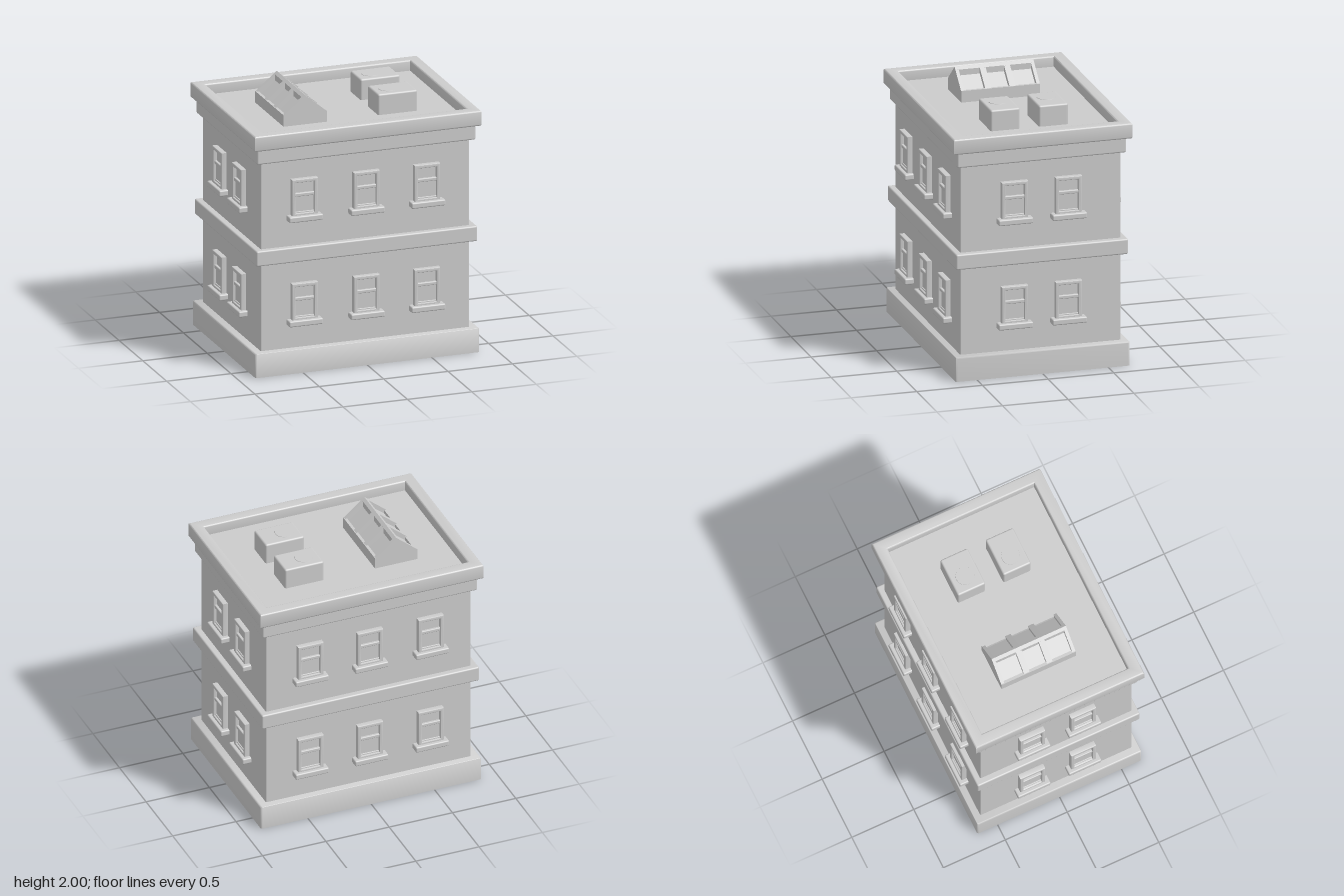
import * as THREE from 'three';
import { RoundedBoxGeometry } from 'three/addons/geometries/RoundedBoxGeometry.js';
import { toCreasedNormals } from 'three/addons/utils/BufferGeometryUtils.js';

const grey = new THREE.MeshStandardMaterial({ color: 0xcccccc });

function add(parent, name, geometry, x = 0, y = 0, z = 0) {
  const mesh = new THREE.Mesh(geometry, grey);
  mesh.name = name;
  mesh.position.set(x, y, z);
  parent.add(mesh);
  return mesh;
}

// Soft-edged block given by half width, half depth and its bottom and top heights
function block(parent, name, hx, hz, y0, y1, r = 0.012, x = 0, z = 0) {
  const geometry = new RoundedBoxGeometry(hx * 2, y1 - y0, hz * 2, 3, r);
  return add(parent, name, geometry, x, (y0 + y1) / 2, z);
}

function rect(target, x0, y0, x1, y1) {
  target.moveTo(x0, y0);
  target.lineTo(x1, y0);
  target.lineTo(x1, y1);
  target.lineTo(x0, y1);
  target.closePath();
  return target;
}

// Extrusion along z whose bevel stays inside the drawn outline
function bevelled(shape, depth, bevel, creased = true) {
  const geometry = new THREE.ExtrudeGeometry(shape, {
    depth: depth - 2 * bevel, bevelEnabled: true, bevelSize: bevel,
    bevelThickness: bevel, bevelOffset: -bevel, bevelSegments: 3,
  });
  geometry.translate(0, 0, bevel);
  return creased ? toCreasedNormals(geometry, 0.7) : geometry;
}

// Sash window: origin at the bottom centre of the sill, wall plane at z = 0
function makeWindow(frameGeometry) {
  const win = new THREE.Group();
  win.name = 'window';
  add(win, 'windowFrame', frameGeometry);
  add(win, 'upperPane', new THREE.BoxGeometry(0.16, 0.12, 0.03), 0, 0.24, 0);
  add(win, 'lowerPane', new THREE.BoxGeometry(0.16, 0.14, 0.04), 0, 0.125, 0);
  add(win, 'meetingRail', new RoundedBoxGeometry(0.16, 0.026, 0.04, 2, 0.006), 0, 0.2, 0.014);
  add(win, 'lowerSashRail', new RoundedBoxGeometry(0.16, 0.02, 0.04, 2, 0.004), 0, 0.06, 0.008);
  add(win, 'windowSill', new RoundedBoxGeometry(0.262, 0.045, 0.09, 3, 0.01), 0, 0.0225, 0.025);
  return win;
}

// Gabled rooflight: low body with full-height ribs and a ridge bar around sunken panes
function makeSkylight() {
  const skylight = new THREE.Group();
  skylight.name = 'skylight';
  const gable = (w, eave, top) => {
    const s = new THREE.Shape();
    s.moveTo(-w, 0);
    s.lineTo(w, 0);
    s.lineTo(w, eave);
    s.lineTo(0, top);
    s.lineTo(-w, eave);
    s.closePath();
    return s;
  };
  const extrude = (shape, depth) => new THREE.ExtrudeGeometry(shape, { depth, bevelEnabled: false });
  add(skylight, 'skylightBody', extrude(gable(0.155, 0.055, 0.18), 0.58), 0, 0, -0.29);
  const ribs = [[-0.3, 0.025], [-0.115, 0.045], [0.07, 0.045], [0.275, 0.025]];
  for (const [z, depth] of ribs) {
    add(skylight, 'skylightRib', extrude(gable(0.168, 0.085, 0.225), depth), 0, 0, z);
  }
  const ridge = new THREE.Shape();
  ridge.moveTo(-0.022, 0.15);
  ridge.lineTo(0.022, 0.15);
  ridge.lineTo(0.022, 0.207);
  ridge.lineTo(0, 0.225);
  ridge.lineTo(-0.022, 0.207);
  ridge.closePath();
  add(skylight, 'skylightRidge', extrude(ridge, 0.6), 0, 0, -0.3);
  for (const side of [-1, 1]) {
    add(skylight, 'skylightCurb', new THREE.BoxGeometry(0.022, 0.09, 0.6), side * 0.157, 0.045, 0);
  }
  return skylight;
}

export function createModel() {
  const building = new THREE.Group();
  building.name = 'building';

  // Plinth, with the rounding of its underside flattened onto the ground
  const plinth = block(building, 'plinth', 0.87, 0.663, 0, 0.185);
  const p = plinth.geometry.attributes.position;
  for (let i = 0; i < p.count; i++) {
    if (p.getY(i) < -0.0925 + 0.0125) p.setY(i, -0.0925);
  }
  plinth.geometry = toCreasedNormals(plinth.geometry, 0.8);

  // Walls and horizontal bands
  block(building, 'walls', 0.81, 0.611, 0.15, 1.7, 0.008);
  block(building, 'middleBand', 0.858, 0.655, 0.85, 0.967);
  block(building, 'upperBand', 0.848, 0.643, 1.627, 1.76);

  // Cornice ring and the sunken roof inside it
  const ring = rect(new THREE.Shape(), -0.88, -0.679, 0.88, 0.679);
  ring.holes.push(rect(new THREE.Path(), -0.793, -0.59, 0.793, 0.59));
  const corniceGeometry = bevelled(ring, 0.117, 0.012);
  corniceGeometry.rotateX(-Math.PI / 2);
  add(building, 'cornice', corniceGeometry, 0, 1.74, 0);
  add(building, 'roof', new THREE.BoxGeometry(1.62, 0.04, 1.22), 0, 1.757, 0);

  // Windows on two floors of all four walls
  const frame = rect(new THREE.Shape(), -0.1, 0.035, 0.1, 0.321);
  frame.holes.push(rect(new THREE.Path(), -0.073, 0.06, 0.073, 0.295));
  const frameGeometry = bevelled(frame, 0.052, 0.006);
  frameGeometry.translate(0, 0, -0.01);
  const walls = [
    { name: 'front', turn: 0, out: 0.609, places: [-0.48, 0, 0.47] },
    { name: 'left', turn: Math.PI / 2, out: 0.808, places: [-0.205, 0.205] },
    { name: 'back', turn: Math.PI, out: 0.609, places: [-0.47, 0, 0.48] },
    { name: 'right', turn: -Math.PI / 2, out: 0.808, places: [-0.205, 0.205] },
  ];
  for (const { name, turn, out, places } of walls) {
    const side = new THREE.Group();
    side.name = name + 'Windows';
    side.rotation.y = turn;
    for (const y of [0.362, 1.162]) {
      for (const x of places) {
        const win = makeWindow(frameGeometry);
        win.position.set(x, y, out);
        side.add(win);
      }
    }
    building.add(side);
  }

  // Rooftop equipment
  const skylight = makeSkylight();
  skylight.position.set(-0.35, 1.775, 0);
  building.add(skylight);
  for (const z of [-0.187, 0.18]) {
    const unit = new THREE.Group();
    unit.name = 'ventilationUnit';
    block(unit, 'unitHousing', 0.153, 0.111, 1.76, 1.936, 0.014, 0.373, z);
    add(unit, 'fanCover', new THREE.CylinderGeometry(0.068, 0.072, 0.01, 24), 0.335, 1.934, z);
    building.add(unit);
  }
  return building;
}
